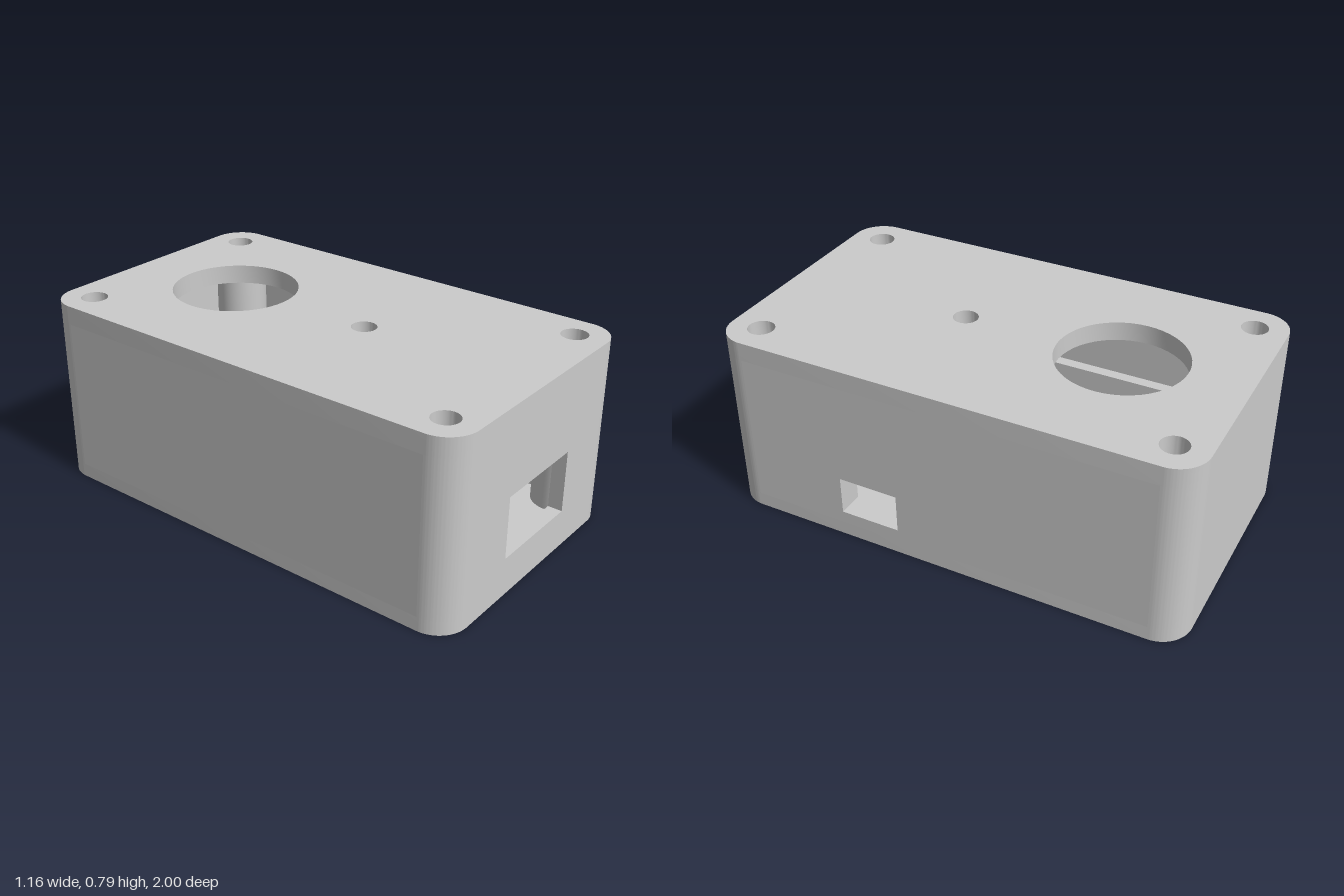
import * as THREE from 'three';
import { toCreasedNormals } from 'three/addons/utils/BufferGeometryUtils.js';

const W = 0.58, L = 1.0, H = 0.79;   // half width, half length, height
const R = 0.13, T = 0.06;            // corner radius, wall thickness
const FLOOR = 0.06, LID = 0.71;      // top of the floor, underside of the lid
const SCREW = { x: 0.445, z: 0.865, r: 0.055 };

const material = new THREE.MeshStandardMaterial({ color: 0xcccccc });

function mesh(name, geometry) {
  const m = new THREE.Mesh(geometry, material);
  m.name = name;
  return m;
}

function extrude(shape, depth) {
  const g = new THREE.ExtrudeGeometry(shape, { depth, bevelEnabled: false, curveSegments: 24 });
  return toCreasedNormals(g, 0.6);
}

// Rounded horizontal plate with round holes given as [x, z, radius]
function plate(y0, y1, holes) {
  const s = new THREE.Shape();
  s.absarc(W - R, L - R, R, 0, Math.PI / 2);
  s.absarc(R - W, L - R, R, Math.PI / 2, Math.PI);
  s.absarc(R - W, R - L, R, Math.PI, Math.PI * 1.5);
  s.absarc(W - R, R - L, R, Math.PI * 1.5, Math.PI * 2);
  s.closePath();
  for (const [x, z, r] of holes) {
    s.holes.push(new THREE.Path().absarc(x, -z, r, 0, Math.PI * 2, true));
  }
  return extrude(s, y1 - y0).rotateX(-Math.PI / 2).translate(0, y0, 0);
}

// Upright panel at a given distance from the centre, with an optional window [u0, y0, u1, y1]
function panel(half, y0, y1, inner, outer, angle, win) {
  const rect = (P, a, b, c, d) => new P([[a, b], [c, b], [c, d], [a, d]].map(p => new THREE.Vector2(...p)));
  const s = rect(THREE.Shape, -half, y0, half, y1);
  if (win) s.holes.push(rect(THREE.Path, ...win));
  return extrude(s, outer - inner).translate(0, 0, inner).rotateY(angle);
}

export function createModel() {
  const model = new THREE.Group();
  model.name = 'enclosure';

  // Floor with two mounting holes on one side
  model.add(mesh('floor', plate(0, FLOOR, [[-0.33, 0.66, 0.053], [-0.33, -0.66, 0.053]])));

  // Lid with a large round opening, a small centre hole and four screw holes
  const lidHoles = [[0, -0.485, 0.264], [0, 0.19, 0.052]];
  for (const sx of [-1, 1]) for (const sz of [-1, 1]) lidHoles.push([sx * SCREW.x, sz * SCREW.z, SCREW.r]);
  model.add(mesh('lid', plate(LID, H, lidHoles)));

  // Flat walls; the front and the left side have rectangular ports
  const frontPort = [-0.21, 0.162, 0.21, 0.423];
  const sidePort = [-0.452, 0.112, -0.194, 0.277];
  const q = Math.PI / 2;
  model.add(mesh('frontWall', panel(W - R, FLOOR, LID, L - T, L, 0, frontPort)));
  model.add(mesh('backWall', panel(W - R, FLOOR, LID, L - T, L, Math.PI)));
  model.add(mesh('leftWall', panel(L - R, FLOOR, LID, W - T, W, q, sidePort)));
  model.add(mesh('rightWall', panel(L - R, FLOOR, LID, W - T, W, -q)));

  // Ledges thickening the lower side walls inside
  model.add(mesh('leftLedge', panel(L - T, FLOOR, 0.37, W - 0.11, W - T, q, sidePort)));
  model.add(mesh('rightLedge', panel(L - T, FLOOR, 0.37, W - 0.11, W - T, -q)));

  // Rounded corner walls
  const corner = new THREE.Shape();
  corner.absarc(0, 0, R, 0, q);
  corner.absarc(0, 0, R - T, q, 0, true);
  corner.closePath();
  [[1, -1], [-1, -1], [-1, 1], [1, 1]].forEach(([sx, sz], k) => {
    const g = extrude(corner, LID - FLOOR).rotateX(-q).rotateY(k * q);
    model.add(mesh('cornerWall', g.translate(sx * (W - R), FLOOR, sz * (L - R))));
  });

  // Round screw bosses in the corners
  const boss = new THREE.Shape().absarc(0, 0, 0.114, 0, Math.PI * 2);
  boss.holes.push(new THREE.Path().absarc(0, 0, SCREW.r, 0, Math.PI * 2, true));
  const bossGeometry = extrude(boss, LID - FLOOR).rotateX(-q);
  for (const sx of [-1, 1]) for (const sz of [-1, 1]) {
    const b = mesh('screwBoss', bossGeometry);
    b.position.set(sx * SCREW.x, FLOOR, sz * SCREW.z);
    model.add(b);
  }
  return model;
}
